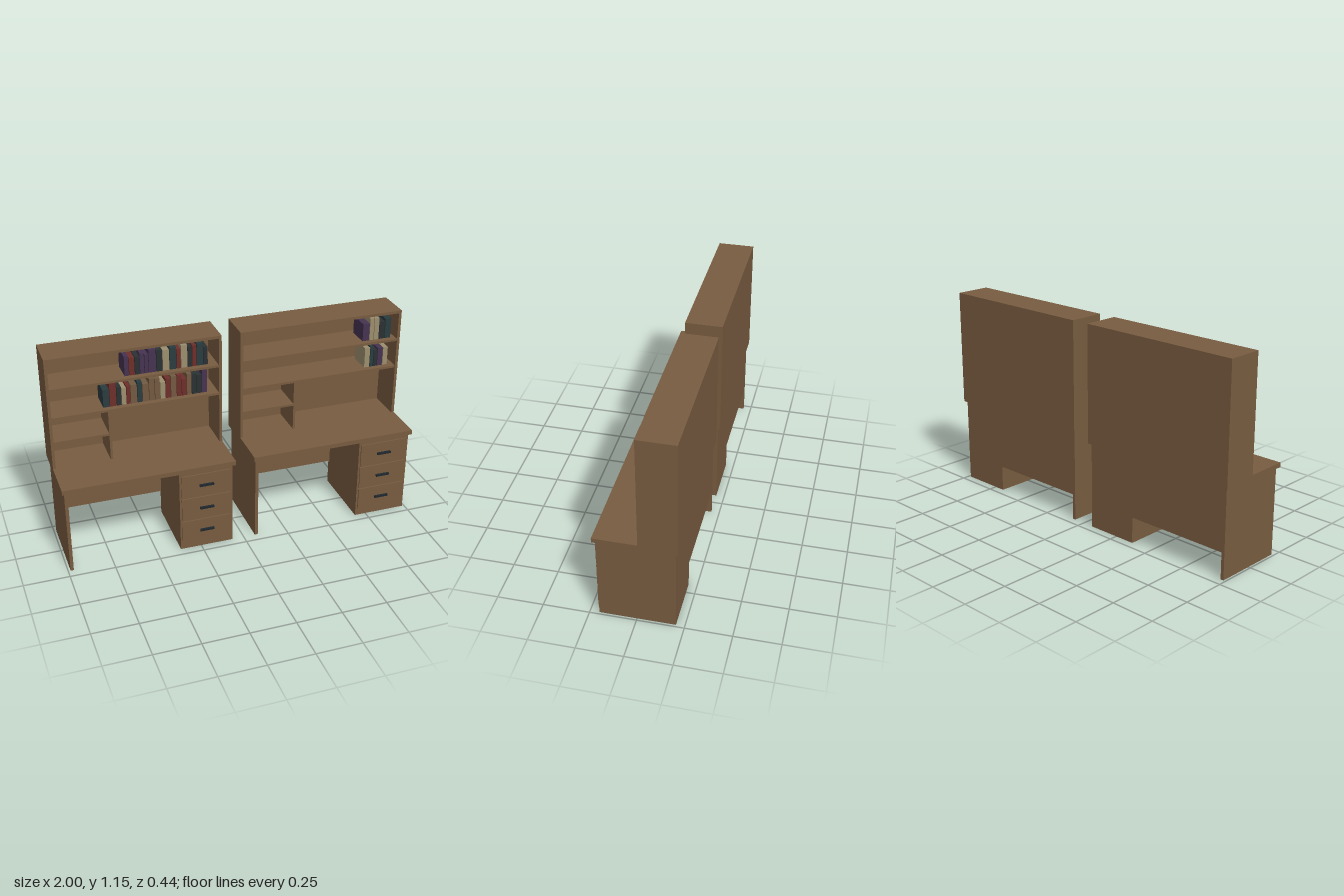
import * as THREE from 'three';

const mat = (name, hex) => {
  const m = new THREE.MeshStandardMaterial({ color: hex });
  m.name = name;
  return m;
};
const wood = mat('wood', 0x785c40);
const metal = mat('dark metal', 0x20282e);
const covers = {
  p: mat('purple cover', 0x463350),
  r: mat('red cover', 0x6e2f2b),
  d: mat('charcoal cover', 0x2b3233),
  g: mat('teal cover', 0x2a3c3f),
  t: mat('tan cover', 0x9c8d6e),
  b: mat('brown cover', 0x735a42),
};

// Box given by its extents along each axis
function box(parent, name, material, x0, x1, y0, y1, z0, z1) {
  const mesh = new THREE.Mesh(new THREE.BoxGeometry(x1 - x0, y1 - y0, z1 - z0), material);
  mesh.position.set((x0 + x1) / 2, (y0 + y1) / 2, (z0 + z1) / 2);
  mesh.name = name;
  parent.add(mesh);
}

// Desk with hutch, left edge at x = 0
const W = 0.947, T = 0.016, BACK = -0.218, FRONT = -0.016;
function buildDesk(name, x) {
  const g = new THREE.Group();
  g.name = name;
  g.position.x = x;

  // Lower desk
  box(g, 'desktop', wood, 0, W, 0.49, 0.515, BACK, 0.218);
  box(g, 'sideLeg', wood, 0.013, 0.031, 0, 0.49, -0.204, 0.2);
  box(g, 'modestyPanel', wood, 0.031, 0.632, 0.148, 0.49, -0.204, -0.19);
  box(g, 'pedestal', wood, 0.632, 0.934, 0, 0.49, -0.204, 0.2);
  for (let i = 0; i < 3; i++) {
    const y = 0.11 + i * 0.1435;
    box(g, 'drawerFront', wood, 0.643, 0.922, y - 0.067, y + 0.067, 0.2, 0.207);
    box(g, 'drawerHandle', metal, 0.743, 0.823, y - 0.006, y + 0.006, 0.207, 0.218);
  }

  // Hutch
  box(g, 'hutchSide', wood, 0, T, 0.515, 1.153, BACK, FRONT);
  box(g, 'hutchSide', wood, W - T, W, 0.515, 1.153, BACK, FRONT);
  box(g, 'hutchTop', wood, T, W - T, 1.153 - T, 1.153, BACK, FRONT);
  box(g, 'hutchBack', wood, T, W - T, 0.515, 1.153 - T, BACK, BACK + 0.01);
  for (const y of [0.982, 0.817])
    box(g, 'shelf', wood, T, W - T, y - 0.013, y, BACK + 0.01, FRONT - 0.002);
  box(g, 'cubbyDivider', wood, 0.315, 0.328, 0.515, 0.804, BACK + 0.01, FRONT - 0.002);
  box(g, 'cubbyShelf', wood, T, 0.315, 0.662, 0.674, BACK + 0.01, FRONT - 0.002);
  return g;
}

// Row of books: cover letter, width and height in hundredths, e.g. 'p2.4/11'
function addBooks(parent, x, y, spec) {
  const row = new THREE.Group();
  row.name = 'bookRow';
  for (const item of spec.split(' ')) {
    const [w, h] = item.slice(1).split('/').map((n) => n / 100);
    box(row, 'book', covers[item[0]], x, x + w, y, y + h, -0.175, -0.05);
    x += w + 0.003;
  }
  parent.add(row);
}

export function createModel() {
  const model = new THREE.Group();
  model.name = 'deskPair';
  const first = buildDesk('rightDesk', -1);
  const second = buildDesk('leftDesk', 0.053);

  addBooks(first, 0.422, 0.982,
    'p2.3/11.2 r2.9/10.2 d2.4/10.2 p2.2/11.7 p2/10.7 p3.9/13 d3.1/12.3 t3.5/11.7 g3.6/12.8 r2.1/11.2 t3.4/13 d2.2/11.7 r2.2/12.2 g3.3/12.8 d2.4/10.2');
  addBooks(first, 0.299, 0.817,
    'g3.4/10.2 r3.5/13.4 d2.4/10.7 t2.4/9.7 r1.9/10.2 b3.4/10.7 g2.5/11.8 b3.3/10.2 b2.9/12.8 b2.7/12.3 t2.7/9.7 r2.6/11.2 b3/12.3 r2.5/12.3 r2.5/9.7 b2.5/12.3 d2.5/11.8 d2.5/10.7 p2.8/13.4');
  addBooks(second, 0.734, 0.982, 'p3.9/10.2 t2.4/13 t2.8/12.8 d3.2/10.2 g3.5/11.7');
  addBooks(second, 0.754, 0.817, 't3.1/11.8 g1.9/12.3 d2.1/9.7 p3/10.7 t2.8/10.7');

  model.add(first, second);
  return model;
}
